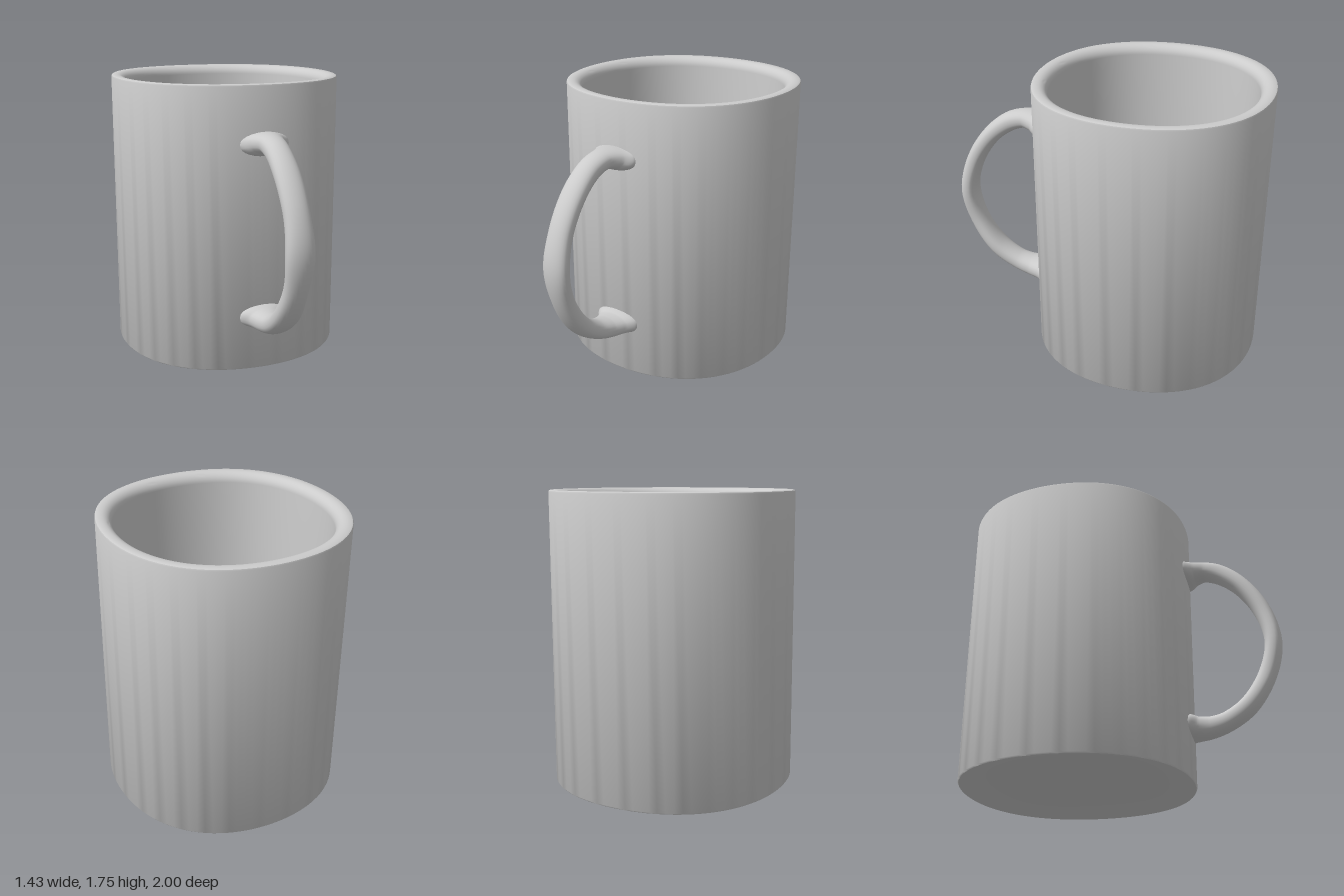
import * as THREE from 'three';
import { toCreasedNormals } from 'three/addons/utils/BufferGeometryUtils.js';

const CUP_Z = -0.286, R = 0.714, H = 1.75, INNER = 0.62, FLOOR = 0.2, DISH = 0.12;

// Cup wall: dished base, outside, rounded rim, inside and floor in one turned profile
function cupGeometry() {
  const pts = [], base = R - 0.006, lip = 0.06;
  for (let i = 0; i <= 10; i++) {
    const t = i / 10;
    pts.push([base * t, DISH * (1 - t * t)]);
  }
  pts.push([R, 0.008], [R, H - 0.012], [R - 0.003, H - 0.004], [R - 0.011, H]);
  for (let i = 0; i <= 8; i++) {
    const a = (i / 8) * Math.PI / 2;
    pts.push([INNER + lip * (1 - Math.sin(a)), H - lip * (1 - Math.cos(a))]);
  }
  pts.push([INNER, FLOOR + 0.008], [INNER - 0.008, FLOOR], [0, FLOOR]);
  const lathe = new THREE.LatheGeometry(pts.map(p => new THREE.Vector2(...p)), 96);

  // The plan is slightly squared: a little wider along the diagonals
  const pos = lathe.attributes.position;
  for (let i = 0; i < pos.count; i++) {
    const x = pos.getX(i), z = pos.getZ(i);
    const k = 1 + 0.0145 * (1 - Math.cos(4 * Math.atan2(x, z)));
    pos.setX(i, x * k);
    pos.setZ(i, z * k);
  }
  return toCreasedNormals(lathe, 0.7);
}

// Handle: rounded sections swept along an arc, flared where it meets the cup
function handleGeometry() {
  // z, y, half width in x, half thickness
  const sections = [
    [0.36, 1.40, 0.165, 0.078], [0.42, 1.403, 0.152, 0.073], [0.47, 1.413, 0.108, 0.064],
    [0.54, 1.415, 0.08, 0.058], [0.64, 1.38, 0.075, 0.06], [0.77, 1.275, 0.078, 0.056],
    [0.89, 1.09, 0.077, 0.055], [0.945, 0.87, 0.086, 0.054], [0.895, 0.65, 0.073, 0.057],
    [0.775, 0.46, 0.083, 0.058], [0.64, 0.365, 0.08, 0.059], [0.54, 0.335, 0.088, 0.065],
    [0.47, 0.332, 0.112, 0.069], [0.42, 0.337, 0.152, 0.076], [0.36, 0.34, 0.165, 0.08]];
  const path = new THREE.CatmullRomCurve3(sections.map(s => new THREE.Vector3(0, s[1], s[0])));
  const size = new THREE.CatmullRomCurve3(sections.map(s => new THREE.Vector3(s[2], s[3], 0)));
  const rows = 84, sides = 28, pos = [], idx = [];
  for (let i = 0; i <= rows; i++) {
    const t = i / rows, c = path.getPoint(t), d = path.getTangent(t), s = size.getPoint(t);
    const sway = 0.003 + 0.003 * Math.sin(t * Math.PI * 5);
    for (let j = 0; j < sides; j++) {
      const a = (j / sides) * Math.PI * 2;
      const u = Math.cos(a) * s.x, v = Math.sign(Math.sin(a)) * Math.abs(Math.sin(a)) ** 0.85 * s.y;
      pos.push(u + sway, c.y + d.z * v, c.z - d.y * v);
      if (i < rows) {
        const k = (j + 1) % sides, p = i * sides, q = p + sides;
        idx.push(p + j, p + k, q + j, p + k, q + k, q + j);
      }
    }
  }
  const g = new THREE.BufferGeometry();
  g.setAttribute('position', new THREE.Float32BufferAttribute(pos, 3));
  g.setIndex(idx);
  g.computeVertexNormals();
  return g;
}

export function createModel() {
  const group = new THREE.Group();
  group.name = 'mug';
  const material = new THREE.MeshStandardMaterial({ color: 0xcccccc });

  const cup = new THREE.Mesh(cupGeometry(), material);
  cup.name = 'cup';
  cup.position.z = CUP_Z;

  const handle = new THREE.Mesh(handleGeometry(), material);
  handle.name = 'handle';

  group.add(cup, handle);
  return group;
}
